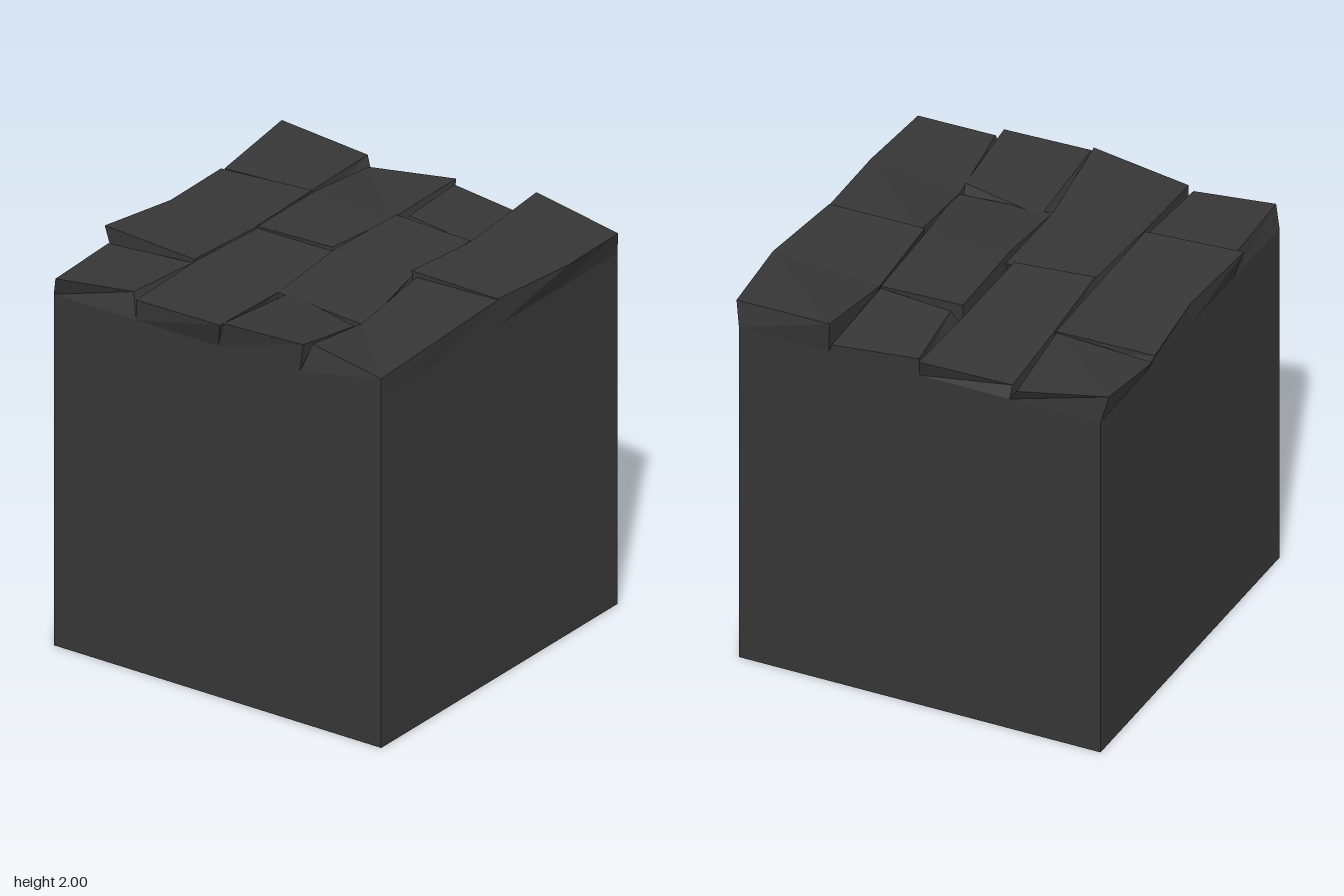
import * as THREE from 'three';

const stone = new THREE.MeshStandardMaterial({ color: 0x363636, side: THREE.DoubleSide });
stone.name = 'darkStone';

const BASE = 1.83; // height where the paving starts
const GRID_X = [-0.95, -0.475, 0, 0.47, 0.94]; // joints between columns
const GRID_Z = [-0.96, -0.49, 0, 0.46, 0.94]; // joints along a column

// Columns from -x to +x, slabs from back to front, one line per grid joint crossed:
// [left height, right height, left x shift, right x shift, left z shift, right z shift]
const columns = [
  [
    [[1.98, 1.91, -0.04, -0.055, 0.01, -0.04], [1.91, 1.935, -0.04, -0.015]],
    [[1.925, 1.94, -0.035, -0.01, 0.035], [1.95, 1.935], [1.985, 1.955, -0.05, -0.01]],
    [[1.935, 1.935, 0.015, -0.015, 0.06], [1.935, 1.945, 0.035, -0.05, 0.035, -0.05]],
  ],
  [
    [[1.89, 1.93, 0, -0.02, 0.03, -0.04], [1.935, 1.92, 0, -0.025], [1.955, 1.945, 0.025, -0.045, 0, -0.04]],
    [[1.945, 1.925, 0.025, 0, 0, -0.04], [1.95, 1.92], [1.935, 1.97, 0, 0.045, 0, 0.05]],
  ],
  [
    [[1.92, 1.87, 0, -0.015], [1.935, 1.925, 0.04, -0.04, -0.05]],
    [[1.95, 1.935, 0, -0.04], [1.965, 1.945, 0, -0.03], [1.92, 1.89, 0, 0.03]],
    [[1.915, 1.91, 0.045, 0.02, -0.04, 0.07], [1.97, 1.975, 0.045, 0.02, 0.025]],
  ],
  [
    [[2, 1.955, -0.015, 0.03, -0.025, 0.035], [1.935, 1.97, -0.035, 0.055], [1.975, 1.97, -0.03]],
    [[1.95, 1.965], [1.895, 1.955, 0.015, 0.01], [1.965, 1.925, 0.04, 0, -0.05]],
  ],
];

// Slab with four side walls and a bent top, corners listed counter-clockwise from outside
function slabGeometry(lines, column, start) {
  const positions = [];
  const quad = (a, b, c, d) => positions.push(...a, ...b, ...c, ...a, ...c, ...d);
  const last = lines.length - 1;
  const x0 = GRID_X[column];
  const x1 = GRID_X[column + 1];
  const left = [];
  const right = [];
  lines.forEach(([leftY, rightY, leftDx = 0, rightDx = 0, leftDz = 0, rightDz = 0], i) => {
    const z = GRID_Z[start + i];
    left.push([x0 + leftDx, leftY, z + leftDz]);
    right.push([x1 + rightDx, rightY, z + rightDz]);
  });
  const baseAt = (x, i) => [x, BASE, GRID_Z[start + i]];

  for (let i = 0; i < last; i++) {
    quad(left[i], left[i + 1], right[i + 1], right[i]); // top
    quad(baseAt(x0, i), baseAt(x0, i + 1), left[i + 1], left[i]); // left wall
    quad(baseAt(x1, i + 1), baseAt(x1, i), right[i], right[i + 1]); // right wall
  }
  quad(baseAt(x0, last), baseAt(x1, last), right[last], left[last]); // front wall
  quad(baseAt(x1, 0), baseAt(x0, 0), left[0], right[0]); // back wall

  const geometry = new THREE.BufferGeometry();
  geometry.setAttribute('position', new THREE.Float32BufferAttribute(positions, 3));
  geometry.computeVertexNormals();
  return geometry;
}

export function createModel() {
  const model = new THREE.Group();
  model.name = 'pavedBlock';

  // Four plain walls, open underneath
  const wallGeometry = new THREE.CylinderGeometry(Math.SQRT1_2, Math.SQRT1_2, 1, 4, 1, true)
    .rotateY(Math.PI / 4)
    .scale(1.89, BASE, 1.9)
    .translate(-0.005, BASE / 2, -0.01)
    .toNonIndexed();
  wallGeometry.computeVertexNormals();
  const walls = new THREE.Mesh(wallGeometry, stone);
  walls.name = 'blockWalls';
  model.add(walls);

  // Uneven paving slabs, laid along each column from the back
  const paving = new THREE.Group();
  paving.name = 'paving';
  columns.forEach((slabs, column) => {
    let start = 0;
    for (const lines of slabs) {
      const slab = new THREE.Mesh(slabGeometry(lines, column, start), stone);
      slab.name = `pavingSlab${paving.children.length + 1}`;
      paving.add(slab);
      start += lines.length - 1;
    }
  });
  model.add(paving);

  return model;
}
